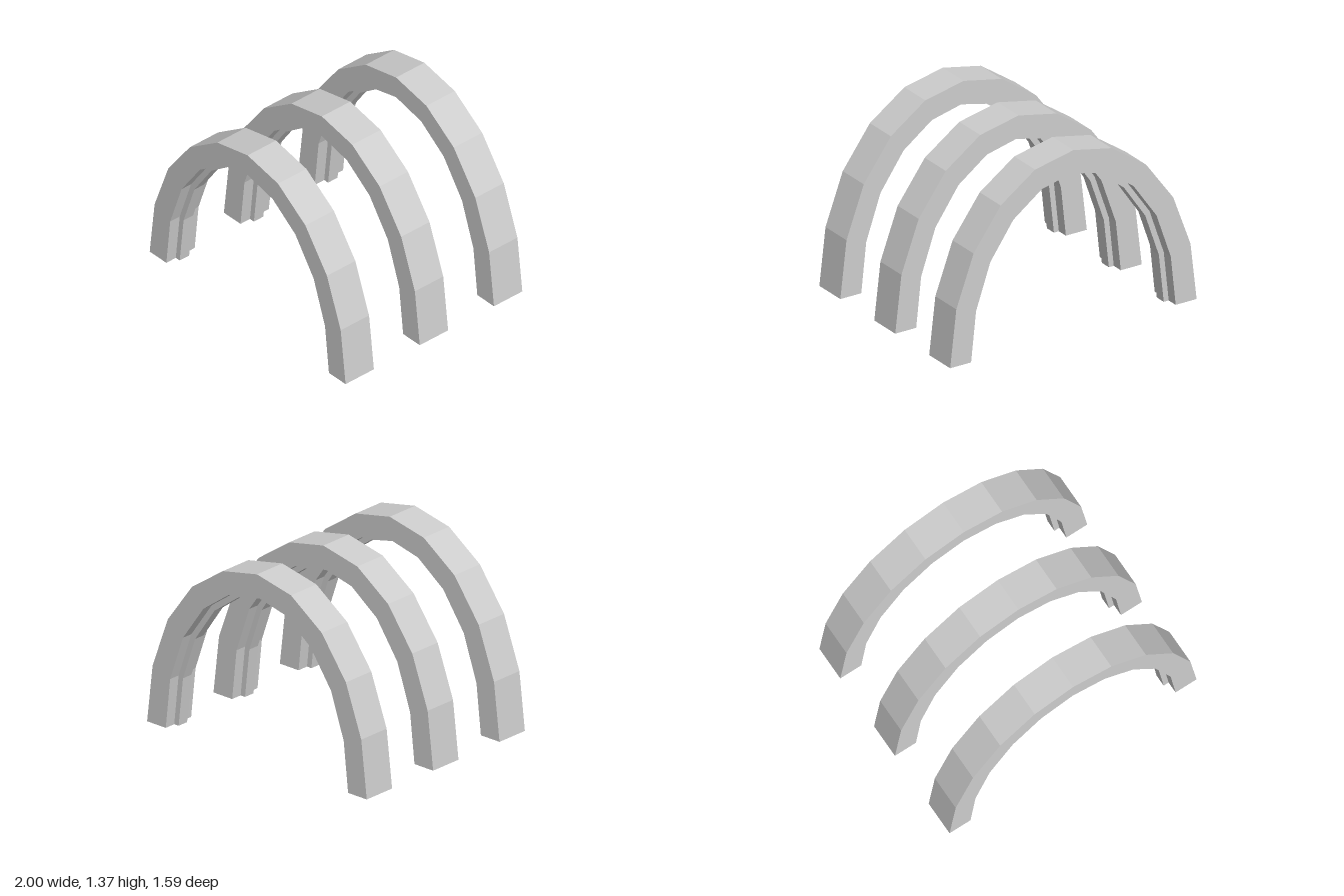
import * as THREE from 'three';

// Half profiles from the foot (y = 0) up to the crown (x = 0)
const OUTER = [[1, 0], [0.95, 0.425], [0.81, 0.805], [0.59, 1.105], [0.31, 1.3], [0, 1.365]];
const INNER = [[0.83, 0], [0.79, 0.37], [0.674, 0.706], [0.487, 0.973], [0.257, 1.14], [0, 1.2]];
const RIB = [[0.79, 0], [0.75, 0.36], [0.64, 0.68], [0.465, 0.936], [0.243, 1.1], [0, 1.157]];

// Mirror a half profile into a full arch line, from +x to -x
function fullArch(half) {
  const mirrored = half.slice(0, -1).reverse().map(([x, y]) => [-x, y]);
  return [...half, ...mirrored].map(([x, y]) => new THREE.Vector2(x, y));
}

// Solid band between two arch lines, centred on z = 0
function archBand(outer, inner, depth) {
  const shape = new THREE.Shape([...fullArch(outer), ...fullArch(inner).reverse()]);
  const geometry = new THREE.ExtrudeGeometry(shape, { depth, bevelEnabled: false });
  return geometry.translate(0, 0, -depth / 2);
}

export function createModel() {
  const model = new THREE.Group();
  model.name = 'archRow';
  const stone = new THREE.MeshStandardMaterial({ color: 0xcccccc });
  stone.name = 'lightGrey';

  const archGeometry = archBand(OUTER, INNER, 0.255);
  const ribGeometry = archBand(INNER, RIB, 0.085);

  // Three identical arches, each with a narrow rib along its underside
  ['back', 'middle', 'front'].forEach((place, i) => {
    const group = new THREE.Group();
    group.name = `${place}Arch`;
    const arch = new THREE.Mesh(archGeometry, stone);
    arch.name = 'archBody';
    const rib = new THREE.Mesh(ribGeometry, stone);
    rib.name = 'innerRib';
    group.add(arch, rib);
    group.position.z = (i - 1) * 0.667;
    model.add(group);
  });

  return model;
}
